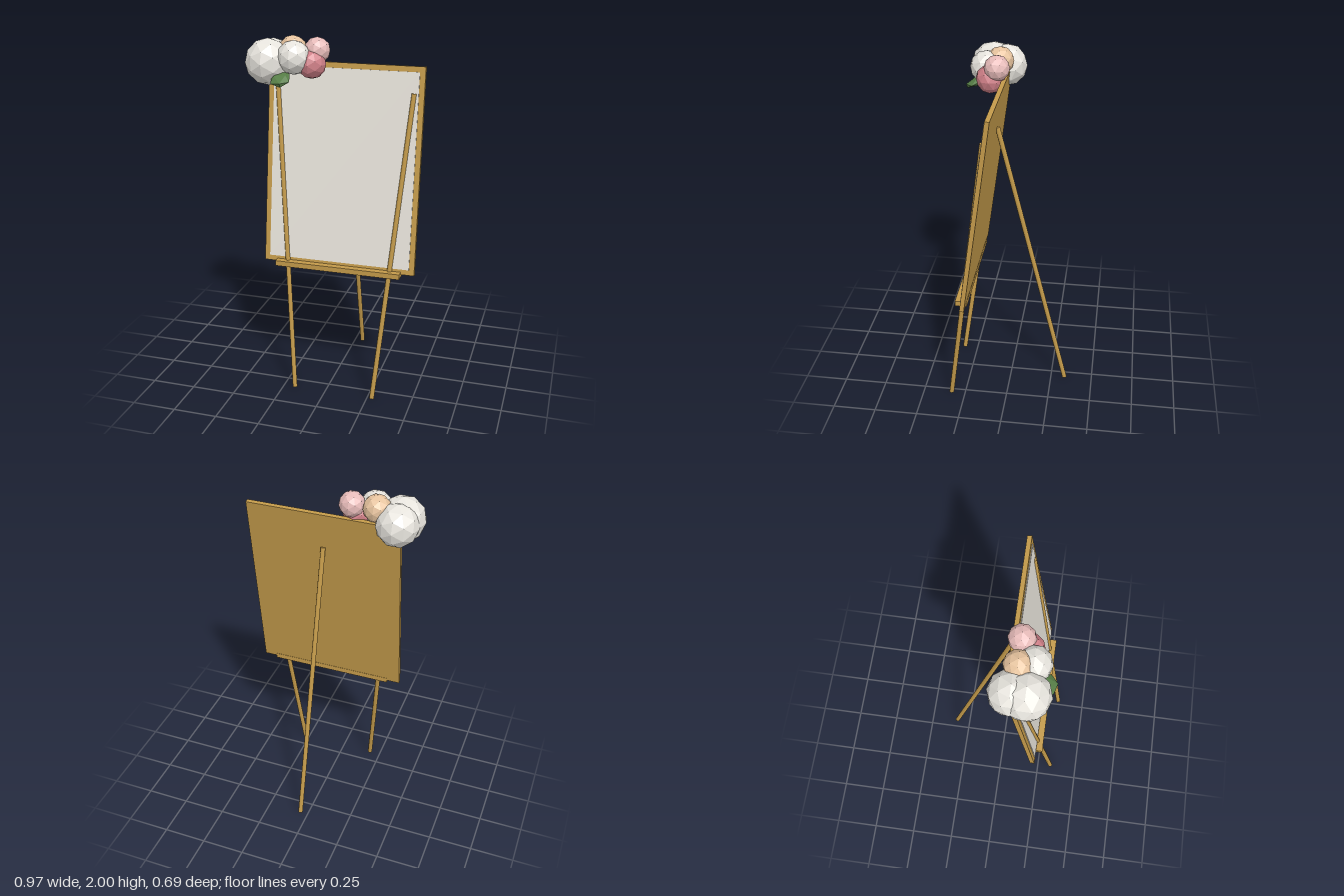
import * as THREE from 'three';

const mat = (name, color, flatShading = false) => {
  const m = new THREE.MeshStandardMaterial({ color, flatShading });
  m.name = name;
  return m;
};

export function createModel() {
  const model = new THREE.Group();
  model.name = 'floralEasel';
  const wood = mat('goldenWood', 0xc39a4a);
  const canvas = mat('canvasWhite', 0xebe7de);
  const white = mat('petalWhite', 0xf0ede6, true);
  const peach = mat('petalPeach', 0xecc8a2, true);
  const blush = mat('petalBlush', 0xe8bcba, true);
  const rose = mat('petalRose', 0xd08088, true);
  const leafGreen = mat('leafGreen', 0x567d46, true);

  const add = (parent, name, geo, material, x, y, z) => {
    const mesh = new THREE.Mesh(geo, material);
    mesh.name = name;
    mesh.position.set(x, y, z);
    parent.add(mesh);
    return mesh;
  };

  // Round rods leaning from the floor to the board
  const cx = 0.0475;
  const leg = (name, from, to) => {
    const a = new THREE.Vector3(...from), b = new THREE.Vector3(...to);
    const dir = b.clone().sub(a);
    const mid = a.clone().add(b).multiplyScalar(0.5);
    const mesh = add(model, name, new THREE.CylinderGeometry(0.014, 0.014, dir.length(), 8), wood, mid.x, mid.y, mid.z);
    mesh.quaternion.setFromUnitVectors(new THREE.Vector3(0, 1, 0), dir.normalize());
  };
  for (const s of [-1, 1]) {
    leg(s < 0 ? 'frontLegRight' : 'frontLegLeft', [cx + s * 0.23, 0.003, 0.332], [cx + s * 0.378, 1.72, 0.092]);
  }
  leg('backLeg', [cx, 0.004, -0.333], [cx, 1.65, 0.072]);

  // Leaning board: backing frame with the canvas standing slightly proud
  const board = new THREE.Group();
  board.name = 'board';
  board.position.set(cx, 0.738, 0.202);
  board.rotation.x = -0.139;
  model.add(board);
  add(board, 'frame', new THREE.BoxGeometry(0.865, 1.13, 0.025), wood, 0, 0.565, 0.0125);
  add(board, 'canvas', new THREE.BoxGeometry(0.805, 1.07, 0.009), canvas, 0, 0.565, 0.025);

  // Shelf that carries the board
  add(model, 'tray', new THREE.BoxGeometry(0.715, 0.03, 0.066), wood, cx, 0.74, 0.231);

  // Corner bouquet of faceted blooms
  const bouquet = new THREE.Group();
  bouquet.name = 'bouquet';
  model.add(bouquet);
  const blooms = [
    ['largeBloomFront', white, 0.127, -0.363, 1.86, 0.15],
    ['largeBloomBack', white, 0.118, -0.358, 1.86, 0.078],
    ['smallWhiteBloom', white, 0.092, -0.212, 1.892, 0.168],
    ['peachBloom', peach, 0.076, -0.24, 1.924, 0.096],
    ['blushBloom', blush, 0.071, -0.104, 1.925, 0.096],
    ['roseBloom', rose, 0.08, -0.125, 1.857, 0.134],
  ];
  for (const [name, material, r, x, y, z] of blooms) {
    add(bouquet, name, new THREE.IcosahedronGeometry(r, 1), material, x, y, z);
  }

  // Flattened leaf drooping forward under the blooms
  const leaf = add(bouquet, 'leaf', new THREE.IcosahedronGeometry(1, 0), leafGreen, -0.268, 1.787, 0.232);
  leaf.scale.set(0.058, 0.022, 0.075);
  leaf.rotation.set(0.42, 0.25, 0);

  return model;
}
